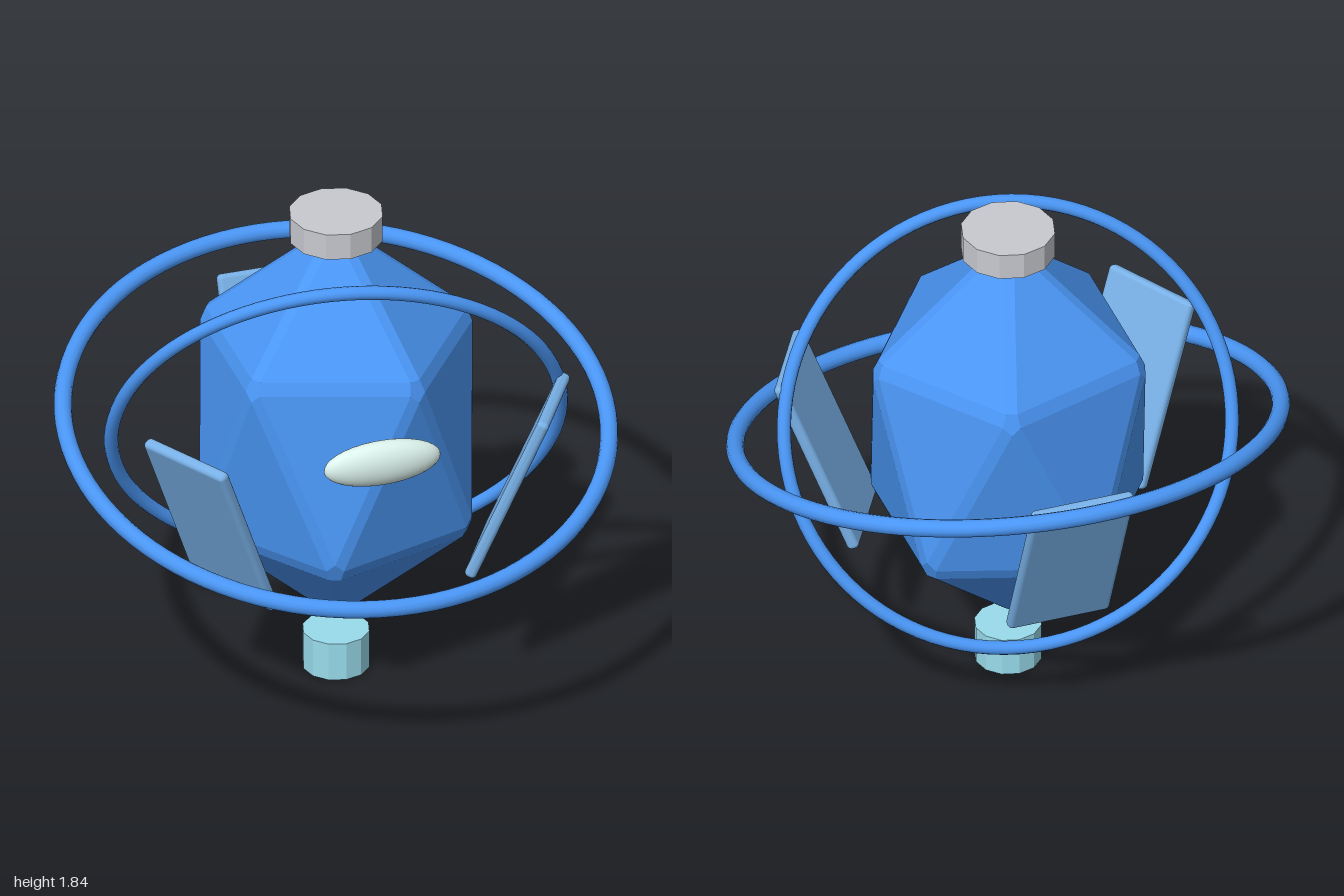
import * as THREE from 'three';
import { ConvexGeometry } from 'three/addons/geometries/ConvexGeometry.js';
import { RoundedBoxGeometry } from 'three/addons/geometries/RoundedBoxGeometry.js';

const MID_Y = 0.995;

const material = (color, flatShading = false) =>
  new THREE.MeshStandardMaterial({ color, flatShading });

function addMesh(parent, name, geometry, mat, y = 0, z = 0) {
  const mesh = new THREE.Mesh(geometry, mat);
  mesh.name = name;
  mesh.position.set(0, y, z);
  parent.add(mesh);
  return mesh;
}

// Stretched icosahedron with a pole at top and bottom; each face is inset, so
// the hull of the inset corners has bevelled edges.
function crystalGeometry(radius, halfHeight, inset) {
  const ring = (height, turn) => Array.from({ length: 5 }, (_, i) => {
    const a = turn + (i * Math.PI * 2) / 5;
    const r = radius * 2 / Math.sqrt(5);
    return new THREE.Vector3(r * Math.cos(a), height, r * Math.sin(a));
  });
  const level = halfHeight / Math.sqrt(5);
  const upper = ring(level, 0);
  const lower = ring(-level, Math.PI / 5);
  const top = new THREE.Vector3(0, halfHeight, 0);
  const bottom = new THREE.Vector3(0, -halfHeight, 0);
  const points = [];
  for (let i = 0; i < 5; i++) {
    const j = (i + 1) % 5;
    const faces = [
      [top, upper[i], upper[j]],
      [upper[i], upper[j], lower[i]],
      [lower[i], lower[j], upper[j]],
      [bottom, lower[i], lower[j]],
    ];
    for (const face of faces) {
      const centre = new THREE.Vector3();
      face.forEach((v) => centre.addScaledVector(v, 1 / 3));
      face.forEach((v) => points.push(v.clone().lerp(centre, inset)));
    }
  }
  return new ConvexGeometry(points);
}

export function createModel() {
  const model = new THREE.Group();
  model.name = 'crystalCore';

  const blue = material(0x4a96f5);
  const panelBlue = material(0x78b0e6);

  // Faceted core
  addMesh(model, 'body', crystalGeometry(0.572, 0.81, 0.12), material(0x4a96f5, true), MID_Y);

  // Cap above and thruster below
  addMesh(model, 'cap', new THREE.CylinderGeometry(0.168, 0.168, 0.1, 12),
    material(0xc8cad0, true), 1.79);
  addMesh(model, 'thruster', new THREE.CylinderGeometry(0.12, 0.12, 0.146, 12),
    material(0x99dcec, true), 0.073);

  // Eye lens on the front
  const eye = addMesh(model, 'eye', new THREE.SphereGeometry(1, 32, 20),
    material(0xdcf2ec), 1.115, 0.535);
  eye.scale.set(0.215, 0.085, 0.056);

  // Two tilted orbit rings, each given by its axis
  const rings = [
    ['outerRing', 0.964, 0.032, new THREE.Vector3(0, Math.cos(0.25), Math.sin(0.25))],
    ['innerRing', 0.796, 0.025, new THREE.Vector3(0.167, 0.44, -0.88)],
  ];
  for (const [name, radius, tube, axis] of rings) {
    const ring = addMesh(model, name, new THREE.TorusGeometry(radius, tube, 12, 96), blue, MID_Y);
    ring.quaternion.setFromUnitVectors(new THREE.Vector3(0, 0, 1), axis.normalize());
  }

  // Three panels around the core, leaning outward at the top
  const panelGeometry = new RoundedBoxGeometry(0.38, 0.715, 0.044, 3, 0.018);
  const sides = { backPanel: Math.PI, leftPanel: Math.PI / 3, rightPanel: -Math.PI / 3 };
  for (const [name, angle] of Object.entries(sides)) {
    const pivot = new THREE.Group();
    pivot.name = name;
    pivot.rotation.y = angle;
    addMesh(pivot, 'panel', panelGeometry, panelBlue, 0.847, 0.653).rotation.x = 0.39;
    model.add(pivot);
  }

  return model;
}
